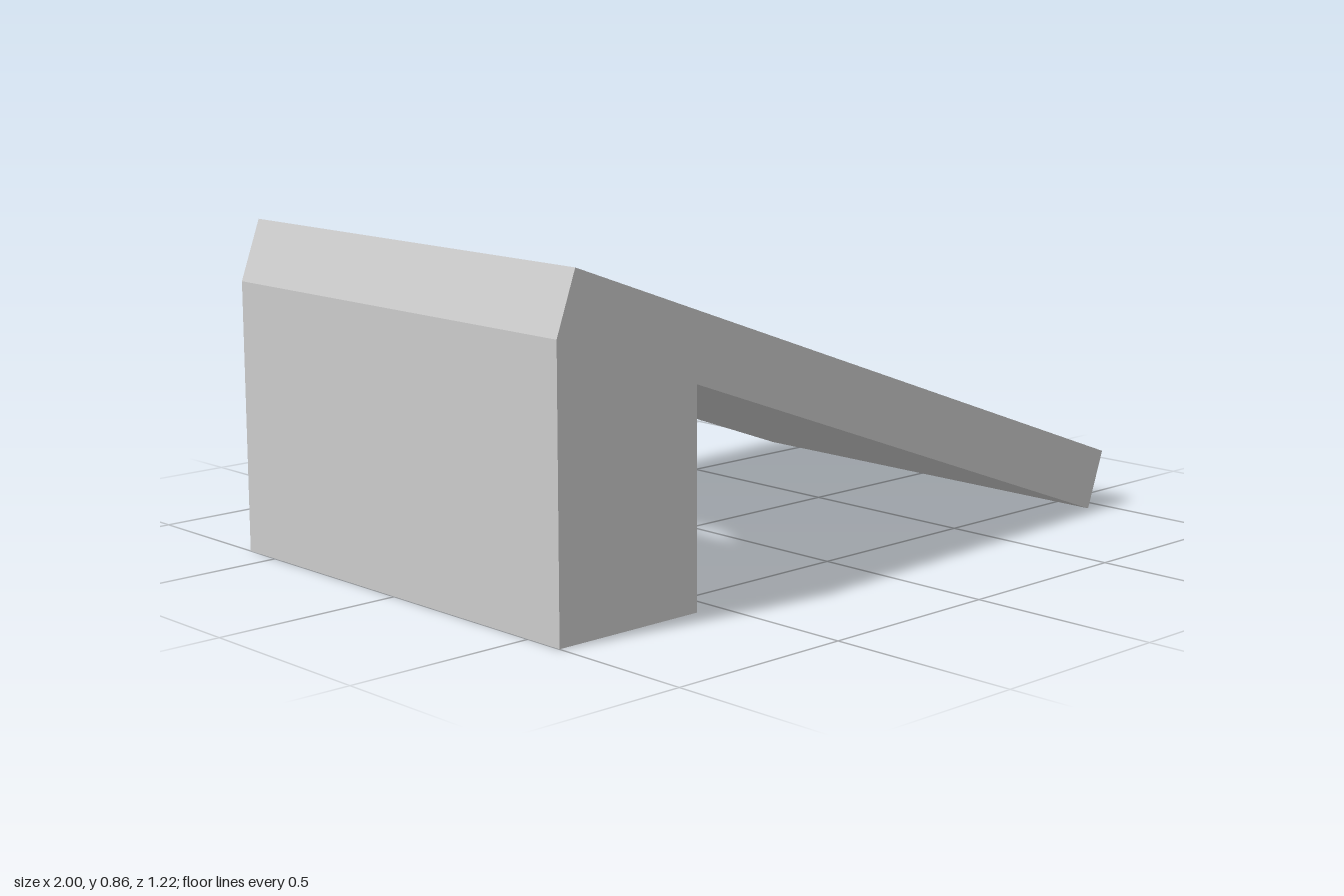
import * as THREE from 'three';
import { toCreasedNormals } from 'three/addons/utils/BufferGeometryUtils.js';

const TILT = THREE.MathUtils.degToRad(20);
const COS = Math.cos(TILT), SIN = Math.sin(TILT);
const LENGTH = 2.068, THICK = 0.165, HALF = 0.61;
const BACK = -1, FACE = -0.57, EDGE_Y = 0.707; // block ends in x, height of the plate's lower upper-end edge
const HOLE_R = 0.18, HOLE_U = 0.483;           // hole radius and distance along the plate

const material = () => new THREE.MeshStandardMaterial({ color: 0xcccccc });
const underside = (x) => EDGE_Y - (x - BACK) * (SIN / COS);

// Sloping plate with a round hole square to its surface
function makePlate() {
  const shape = new THREE.Shape();
  shape.moveTo(0, -HALF).lineTo(LENGTH, -HALF).lineTo(LENGTH, HALF).lineTo(0, HALF).closePath();
  shape.holes.push(new THREE.Path().absarc(HOLE_U, 0, HOLE_R, 0, Math.PI * 2, true));
  const geo = new THREE.ExtrudeGeometry(shape, { depth: THICK, bevelEnabled: false, curveSegments: 32 });
  geo.rotateX(-Math.PI / 2);
  const plate = new THREE.Mesh(toCreasedNormals(geo, 0.6), material());
  plate.name = 'slopingPlate';
  plate.rotation.z = -TILT;
  plate.position.set(BACK, EDGE_Y, 0);
  return plate;
}

// One cross-section of the block; t = 0 is the base, t = 1 the plate's underside
function blockSection(t, arcSteps) {
  const cx = BACK + HOLE_U * COS, cy = EDGE_Y - HOLE_U * SIN;
  const pts = [[FACE, HALF], [BACK, HALF], [BACK, -HALF], [FACE, -HALF]]
    .map(([x, z]) => new THREE.Vector3(x, t * underside(x), z));
  // The tilted bore breaks out through the face at +-start
  const faceY = t * underside(FACE);
  const start = Math.acos(((FACE - cx) * COS - (faceY - cy) * SIN) / HOLE_R);
  const slope = t * SIN / COS;
  for (let i = 0; i <= arcSteps; i++) {
    const a = -start - (2 * Math.PI - 2 * start) * (i / arcSteps);
    const d = HOLE_R * Math.cos(a);
    const x0 = cx + d * COS, y0 = cy - d * SIN;
    const s = (t * underside(x0) - y0) / (COS + slope * SIN);
    pts.push(new THREE.Vector3(x0 + s * SIN, y0 + s * COS, HOLE_R * Math.sin(a)));
  }
  return pts;
}

// Upright block, cut by the same bore
function makeBlock() {
  const ROWS = 12, ARC = 32;
  const rows = [];
  for (let r = 0; r <= ROWS; r++) rows.push(blockSection(r / ROWS, ARC));
  const n = rows[0].length, pos = [];
  const tri = (...corners) => corners.forEach((p) => pos.push(p.x, p.y, p.z));
  for (let r = 0; r < ROWS; r++) {
    for (let i = 0; i < n; i++) {
      const j = (i + 1) % n;
      const a = rows[r][i], b = rows[r][j], c = rows[r + 1][i], d = rows[r + 1][j];
      tri(a, c, b);
      tri(b, c, d);
    }
  }
  // Base
  const base = rows[0];
  const outline = base.map((p) => new THREE.Vector2(p.x, p.z));
  for (const f of THREE.ShapeUtils.triangulateShape(outline, [])) tri(...f.map((k) => base[k]));

  const geo = new THREE.BufferGeometry();
  geo.setAttribute('position', new THREE.Float32BufferAttribute(pos, 3));
  const block = new THREE.Mesh(toCreasedNormals(geo, 0.6), material());
  block.material.side = THREE.DoubleSide;
  block.name = 'supportBlock';
  return block;
}

export function createModel() {
  const model = new THREE.Group();
  model.name = 'wedgeStand';
  model.add(makePlate(), makeBlock());
  return model;
}
